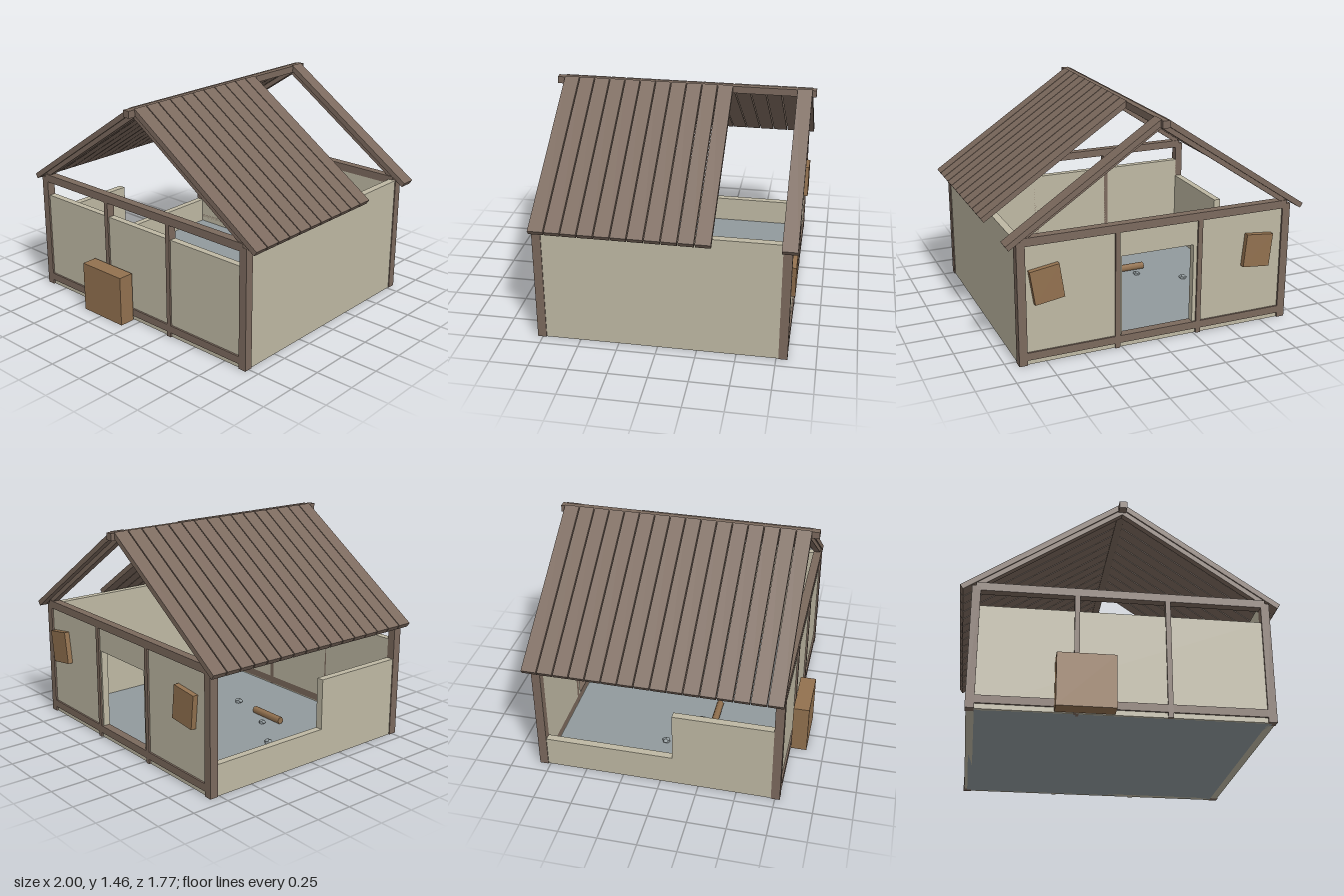
import * as THREE from 'three';

export function createModel() {
  const model = new THREE.Group();
  model.name = 'ruinedHouse';

  const material = (name, color) => {
    const m = new THREE.MeshStandardMaterial({ color });
    m.name = name;
    return m;
  };
  const timber = material('weathered timber', 0x7b695d);
  const plaster = material('beige plaster', 0xbeb8a3);
  const crateWood = material('warm brown wood', 0x92714f);
  const stone = material('blue grey stone', 0x919a9d);

  // Box given by its minimum and maximum on each axis
  const block = (name, mat, [x0, x1], [y0, y1], [z0, z1]) => {
    const mesh = new THREE.Mesh(new THREE.BoxGeometry(x1 - x0, y1 - y0, z1 - z0), mat);
    mesh.position.set((x0 + x1) / 2, (y0 + y1) / 2, (z0 + z1) / 2);
    mesh.name = name;
    model.add(mesh);
    return mesh;
  };

  // Floor slab
  block('floor', stone, [-0.9, 0.9], [0, 0.025], [-0.79, 0.755]);

  // Side walls: one whole, one broken down in two steps
  block('leftWall', plaster, [0.872, 0.92], [0, 0.8], [-0.765, 0.725]);
  block('brokenWallLow', plaster, [-0.92, -0.872], [0, 0.205], [-0.765, 0.08]);
  block('brokenWallHigh', plaster, [-0.92, -0.872], [0, 0.54], [0.08, 0.725]);

  // Front wall stops short of the tie beam
  block('frontWall', plaster, [-0.875, 0.875], [0, 0.67], [0.725, 0.77]);

  // Back wall with a doorway
  const backZ = [-0.81, -0.765];
  block('backWall', plaster, [0.25, 0.875], [0, 0.775], backZ);
  block('backWall', plaster, [-0.875, -0.24], [0, 0.775], backZ);
  block('doorLintel', plaster, [-0.24, 0.25], [0.61, 0.775], backZ);
  block('doorSill', plaster, [-0.24, 0.25], [0, 0.04], backZ);

  // Timber frame on both gable ends
  for (const z of [[0.725, 0.782], [-0.822, -0.765]]) {
    for (const s of [-1, 1]) {
      const corner = [0.872 * s, 0.926 * s].sort((a, b) => a - b);
      block('cornerPost', timber, corner, [0, 0.8], z);
      block('middlePost', timber, [0.281 * s - 0.016, 0.281 * s + 0.016], [0, 0.78], z);
    }
    block('tieBeam', timber, [-0.9, 0.9], [0.77, 0.823], z);
    block('sillBeam', timber, [-0.875, 0.875], [0.032, 0.082], z);
  }

  // Sloping timber from (x0, y0) near the ridge to (x1, y1) at the eave, hung below that line
  const slopedTimber = (name, side, [x0, y0], [x1, y1], thick, zMid, depth) => {
    const length = Math.hypot(x1 - x0, y1 - y0);
    const angle = Math.atan2(y1 - y0, x1 - x0);
    const mesh = new THREE.Mesh(new THREE.BoxGeometry(length, thick, depth), timber);
    mesh.position.set(
      side * ((x0 + x1) / 2 + Math.sin(angle) * thick / 2),
      (y0 + y1) / 2 - Math.cos(angle) * thick / 2,
      zMid
    );
    mesh.rotation.z = side * angle;
    mesh.name = name;
    model.add(mesh);
  };

  // Roof planks, four of them missing on one slope
  const pitch = 0.1027;
  for (let i = 0; i < 16; i++) {
    const z = 0.785 - pitch * (i + 0.5);
    for (const side of [-1, 1]) {
      if (side === 1 && i > 10 && i < 15) continue;
      slopedTimber('roofPlank', side, [0.02, 1.457], [1, 0.8], 0.035, z, 0.096);
    }
  }

  // Rafters beneath the end planks
  for (const z of [0.75, -0.795])
    for (const side of [-1, 1])
      slopedTimber('rafter', side, [0, 1.428], [0.89, 0.832], 0.03, z, 0.045);

  // Ridge pole
  block('ridgePole', timber, [-0.024, 0.024], [1.406, 1.452], [-0.882, 0.832]);

  // Crate against the front wall
  block('crate', crateWood, [-0.41, -0.052], [0, 0.337], [0.78, 0.885]);

  // Crooked shutters on the back wall
  for (const [x, y, turn] of [[0.745, 0.52, -0.15], [-0.69, 0.515, 0.1]]) {
    const shutter = block('shutter', crateWood, [x - 0.095, x + 0.095], [y - 0.11, y + 0.11], [-0.845, -0.81]);
    shutter.rotation.z = turn;
  }

  // Debris on the floor
  const log = new THREE.Mesh(new THREE.CylinderGeometry(0.025, 0.025, 0.27, 6), crateWood);
  log.rotation.z = Math.PI / 2;
  log.position.set(-0.235, 0.05, 0.23);
  log.name = 'fallenLog';
  model.add(log);
  for (const [x, z, r] of [[-0.56, -0.05, 0.028], [-0.28, 0.14, 0.025], [0.13, 0.27, 0.03]]) {
    const rock = new THREE.Mesh(new THREE.DodecahedronGeometry(r), stone);
    rock.position.set(x, 0.035, z);
    rock.scale.y = 0.7;
    rock.name = 'rubble';
    model.add(rock);
  }

  return model;
}
